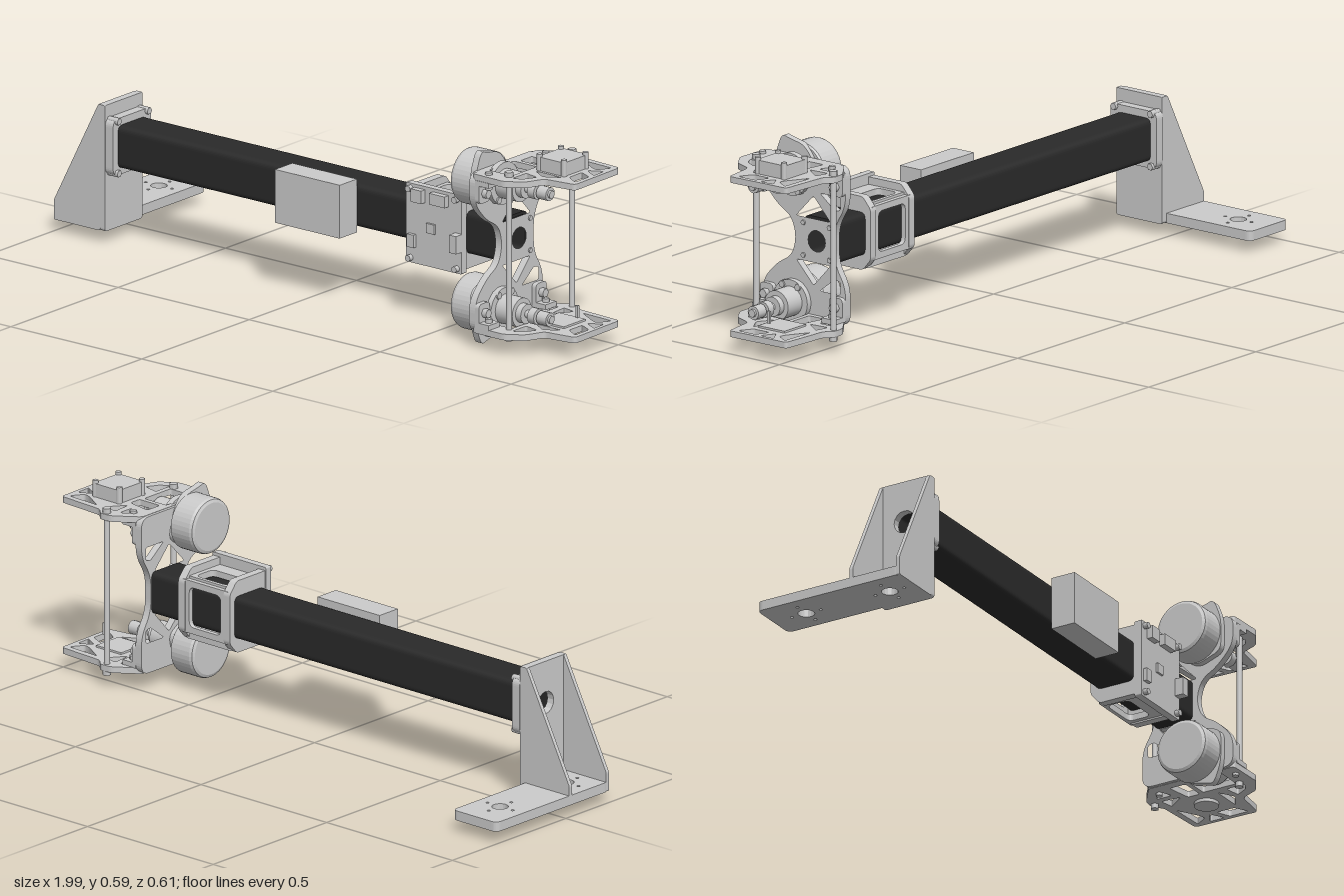
import * as THREE from 'three';

const grey = new THREE.MeshStandardMaterial({ color: 0xcccccc });
const dark = new THREE.MeshStandardMaterial({ color: 0x2a2a2a });

// Closed outline with every corner rounded by up to r
function trace(path, pts, r) {
  const v = pts.map(p => new THREE.Vector2(...p));
  v.forEach((p, i) => {
    const a = v[(i + v.length - 1) % v.length], b = v[(i + 1) % v.length];
    const toward = q => p.clone().add(q.clone().sub(p).setLength(Math.min(r, p.distanceTo(q) * 0.45)));
    const s = toward(a), e = toward(b);
    if (i) path.lineTo(s.x, s.y); else path.moveTo(s.x, s.y);
    path.quadraticCurveTo(p.x, p.y, e.x, e.y);
  });
  path.closePath();
  return path;
}
const poly = (pts, r = 0.008) => trace(new THREE.Path(), pts, r);
const round = (x, y, r) => new THREE.Path().absarc(x, y, r, 0, Math.PI * 2, true);
const rect = (x0, y0, x1, y1) => [[x0, y0], [x1, y0], [x1, y1], [x0, y1]];

function extrude(pts, holes, depth, r) {
  const shape = trace(new THREE.Shape(), pts, r);
  shape.holes = holes;
  return new THREE.ExtrudeGeometry(shape, { depth, bevelEnabled: false, curveSegments: 8 });
}

export function createModel() {
  const model = new THREE.Group();
  const add = (name, geo, mat = grey) => {
    const m = new THREE.Mesh(geo, mat);
    m.name = name;
    model.add(m);
    return m;
  };
  // Plates: outline in (z, y), (x, z) or (x, y), thick between two limits
  const plateX = (name, pts, holes, x0, x1, r = 0.01, mat = grey) =>
    add(name, extrude(pts, holes, x1 - x0, r).rotateY(-Math.PI / 2).translate(x1, 0, 0), mat);
  const plateY = (name, pts, holes, y0, y1, r = 0.01) =>
    add(name, extrude(pts, holes, y1 - y0, r).rotateX(Math.PI / 2).translate(0, y1, 0));
  const plateZ = (name, pts, holes, z0, z1, r = 0.005) =>
    add(name, extrude(pts, holes, z1 - z0, r).translate(0, 0, z0));
  const box = (name, x0, x1, y0, y1, z0, z1) =>
    add(name, new THREE.BoxGeometry(x1 - x0, y1 - y0, z1 - z0)
      .translate((x0 + x1) / 2, (y0 + y1) / 2, (z0 + z1) / 2));
  const rodX = (name, r, x0, x1, y, z, n = 24) =>
    add(name, new THREE.CylinderGeometry(r, r, x1 - x0, n).rotateZ(Math.PI / 2).translate((x0 + x1) / 2, y, z));
  const rodY = (name, r, y0, y1, x, z, n = 16) =>
    add(name, new THREE.CylinderGeometry(r, r, y1 - y0, n).translate(x, (y0 + y1) / 2, z));

  // Wall bracket: foot, upright and two triangular gussets
  const footHoles = [];
  for (const z of [0.1, -0.19]) {
    footHoles.push(round(-0.91, z, 0.025));
    for (const [dx, dz] of [[0.05, 0], [-0.05, 0], [0, 0.05], [0, -0.05]])
      footHoles.push(round(-0.91 + dx, z + dz, 0.005));
  }
  plateY('foot', rect(-1, -0.305, -0.825, 0.19), footHoles, 0.04, 0.07, 0.02);
  plateX('upright', rect(0.015, 0.04, 0.19, 0.43), [round(0.1, 0.3, 0.035)], -0.83, -0.805);
  for (const z of [0.015, 0.178])
    plateZ('gusset', [[-1, 0.04], [-0.825, 0.04], [-0.805, 0.1], [-0.805, 0.43], [-0.83, 0.43], [-1, 0.1]], [], z, z + 0.012);

  // Flange and hollow square boom
  const bore = () => poly(rect(0.037, 0.237, 0.163, 0.363), 0.015);
  plateX('boomFlange', rect(0.012, 0.215, 0.188, 0.39), [bore()], -0.805, -0.775, 0.025);
  for (const y of [0.222, 0.383]) for (const z of [0.03, 0.17]) rodX('flangeBolt', 0.011, -0.805, -0.765, y, z, 6);
  plateX('boom', rect(0.035, 0.235, 0.165, 0.367), [poly(rect(0.045, 0.245, 0.155, 0.357), 0.015)], -0.805, 0.68, 0.02, dark);
  box('controlBox', -0.11, 0.137, 0.22, 0.385, 0.165, 0.245);

  // Collar: end rings, windowed panels, front board
  for (const x of [0.35, 0.53])
    plateX('collarRing', [[0.015, 0.225], [0.045, 0.19], [0.18, 0.19], [0.18, 0.415], [0.045, 0.415], [0.015, 0.38]],
      [bore()], x, x + 0.026, 0.01);
  for (const y of [0.195, 0.372])
    plateY('collarPanel', rect(0.36, 0.035, 0.545, 0.175), [poly(rect(0.39, 0.047, 0.515, 0.122), 0.02)], y, y + 0.02);
  plateZ('collarBack', rect(0.36, 0.22, 0.545, 0.385), [poly(rect(0.39, 0.24, 0.515, 0.365), 0.02)], 0.018, 0.033);
  plateZ('collarBoard', rect(0.347, 0.18, 0.56, 0.425), [], 0.17, 0.193);
  for (const x of [0.365, 0.542]) for (const y of [0.195, 0.41]) {
    const b = rodY('boardScrew', 0.01, -0.01, 0.01, 0, 0, 8);
    b.rotation.x = Math.PI / 2;
    b.position.set(x, y, 0.198);
  }
  box('boardPort', 0.535, 0.562, 0.25, 0.305, 0.193, 0.222);
  box('boardPort', 0.38, 0.42, 0.375, 0.415, 0.193, 0.212);
  box('boardPort', 0.45, 0.51, 0.38, 0.415, 0.193, 0.212);
  box('boardPort', 0.36, 0.385, 0.23, 0.27, 0.193, 0.205);
  box('boardChip', 0.43, 0.46, 0.285, 0.315, 0.193, 0.2);

  // Waisted main plate, mirrored about mid height
  const half = [[0.032, 0.055], [-0.01, 0.125], [-0.01, 0.245], [0.305, 0.245], [0.305, 0.15], [0.25, 0.09], [0.195, 0.06]];
  const outline = [...half.map(([z, d]) => [z, 0.3 + d]), [0.178, 0.3],
    ...half.slice().reverse().map(([z, d]) => [z, 0.3 - d])];
  const mainHoles = [round(0.1, 0.3, 0.033)];
  for (const s of [1, -1]) {
    const cut = pts => poly(pts.map(([z, d]) => [z, 0.3 + s * d]));
    mainHoles.push(cut([[0.178, 0.067], [0.048, 0.067], [0.112, 0.137]]),
      cut([[0.088, 0.15], [0.01, 0.15], [0.01, 0.11], [0.03, 0.105]]));
  }
  plateX('mainPlate', outline, mainHoles, 0.68, 0.703, 0.035);
  for (const y of [0.25, 0.35]) for (const z of [0.05, 0.15]) rodX('plateScrew', 0.008, 0.7, 0.708, y, z, 6);

  // Upper and lower ends: motor, gearbox, truss plate, corner brackets
  const truss = [[0.69, 0.005], [0.765, -0.05], [0.805, -0.053], [0.83, -0.028], [0.99, -0.018], [0.995, 0.195],
    [0.89, 0.21], [0.865, 0.27], [0.81, 0.305], [0.69, 0.302]];
  const trussCuts = [
    [[0.72, 0.02], [0.765, -0.012], [0.765, 0.04]],
    [[0.785, -0.01], [0.83, 0.0], [0.79, 0.055]],
    [[0.86, -0.005], [0.975, 0.0], [0.95, 0.04], [0.93, 0.035]],
    [[0.978, 0.04], [0.98, 0.09], [0.935, 0.065]],
    [[0.978, 0.11], [0.978, 0.175], [0.935, 0.15], [0.935, 0.09]],
    [[0.82, 0.165], [0.92, 0.165], [0.87, 0.195]],
    [[0.72, 0.06], [0.8, 0.075], [0.8, 0.115], [0.72, 0.115]],
    [[0.707, 0.13], [0.795, 0.13], [0.795, 0.245], [0.707, 0.245]],
    [[0.812, 0.2], [0.862, 0.21], [0.84, 0.25], [0.812, 0.265]],
  ];
  for (const s of [1, -1]) {
    const Y = d => 0.3 + s * d;
    const span = (a, b) => [Math.min(Y(a), Y(b)), Math.max(Y(a), Y(b))];
    const my = Y(0.194), mz = 0.187;

    plateX('motorMount', [[0.275, 0.235], [0.25, 0.3], [0.22, 0.29], [0.165, 0.28], [0.13, 0.235], [0.11, 0.15], [0.19, 0.1], [0.275, 0.13]]
      .map(([z, d]) => [z, Y(d)]), [], 0.66, 0.682, 0.025);
    const profile = [[0, 0], [0.074, 0], [0.083, 0.004], [0.086, 0.013], [0.086, 0.085], [0.08, 0.09], [0, 0.09]];
    add('motor', new THREE.LatheGeometry(profile.map(p => new THREE.Vector2(...p)), 40)
      .toNonIndexed().rotateZ(-Math.PI / 2).translate(0.578, my, mz)).geometry.computeVertexNormals();
    rodX('gearboxFlange', 0.065, 0.7, 0.72, my, mz, 32);
    rodX('gearbox', 0.045, 0.72, 0.785, my, mz, 32);
    rodX('gearboxCap', 0.03, 0.785, 0.805, my, mz, 24);
    rodX('shaft', 0.012, 0.8, 0.9, my, mz, 16);
    rodX('coupler', 0.025, 0.825, 0.85, my, mz, 12);
    rodX('coupler', 0.021, 0.856, 0.893, my, mz, 12);
    for (const dz of [-0.03, 0.03]) rodX('mountBolt', 0.011, 0.7, 0.725, Y(0.147), mz + dz, 6);

    plateY('trussPlate', truss, trussCuts.map(p => poly(p)), ...span(0.227, 0.246), 0.012);
    for (const [z0, z1] of [[-0.01, 0.04], [0.255, 0.305]]) {
      const zc = (z0 + z1) / 2;
      box('cornerFoot', 0.703, 0.755, ...span(0.212, 0.228), z0, z1);
      plateX('cornerBracket', [[z0, Y(0.155)], [z1, Y(0.155)], [z1, Y(0.228)], [z0, Y(0.228)]], [], 0.703, 0.718, 0.015);
      rodX('bracketBolt', 0.014, 0.715, 0.735, Y(0.185), zc, 6);
      rodY('bracketBolt', 0.011, ...span(0.2, 0.254), 0.735, zc, 6);
    }
    for (const z of [-0.037, 0.257]) rodY('tieRodNut', 0.013, ...span(0.246, 0.261), 0.793, z, 6);
  }

  // Tie rods between the truss plates
  for (const z of [-0.037, 0.257]) rodY('tieRod', 0.009, 0.05, 0.55, 0.793, z);

  // Sensor on the top plate, small parts on the lower plate
  box('sensor', 0.818, 0.92, 0.546, 0.588, 0.043, 0.155);
  for (const x of [0.822, 0.916]) for (const z of [0.05, 0.15]) rodY('sensorPost', 0.009, 0.545, 0.597, x, z, 8);
  rodY('lowerSensor', 0.037, 0.044, 0.056, 0.865, 0.098, 24);
  box('lowerSensorBase', 0.815, 0.915, 0.073, 0.079, 0.05, 0.15);
  box('lowerFin', 0.922, 0.929, 0.097, 0.135, 0.095, 0.104);
  return model;
}
